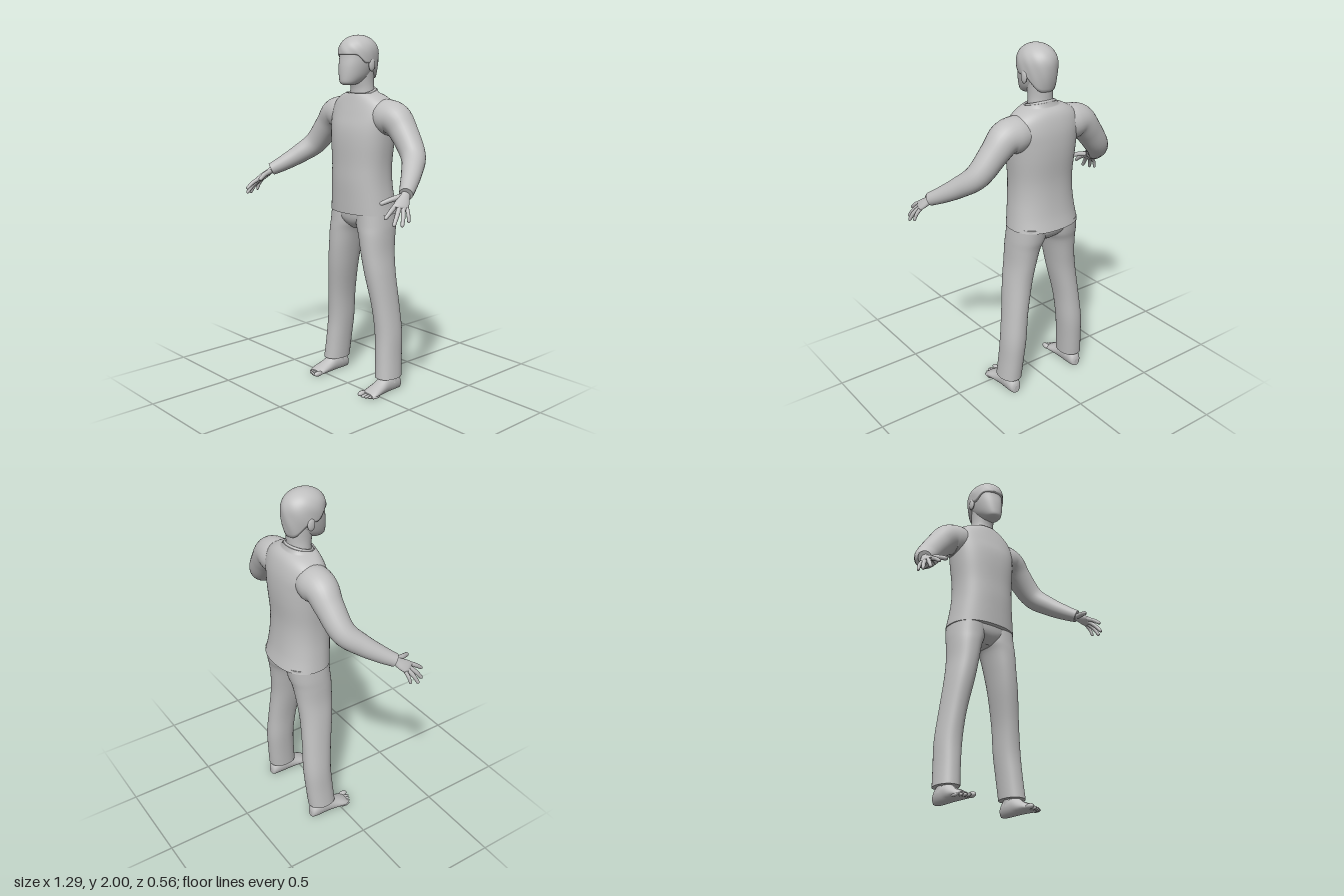
import * as THREE from 'three';

const V = (x, y, z) => new THREE.Vector3(x, y, z);

// Smoothly resample rows of section parameters
function resample(rows, steps) {
  const out = [];
  const at = i => rows[Math.min(rows.length - 1, Math.max(0, i))];
  for (let i = 0; i < rows.length - 1; i++) {
    for (let k = 0; k < steps; k++) {
      const t = k / steps;
      out.push(rows[0].map((_, c) => {
        const [a, b, d, e] = [at(i - 1)[c], at(i)[c], at(i + 1)[c], at(i + 2)[c]];
        return b + 0.5 * t * (d - a + t * (2 * a - 5 * b + 4 * d - e + t * (3 * (b - d) + e - a)));
      }));
    }
  }
  out.push(rows[rows.length - 1]);
  return out;
}

// Skin closed rings of points and close both ends with separate caps
function loft(rings) {
  const n = rings[0].length, pos = [], idx = [];
  rings.forEach(r => r.forEach(p => pos.push(p.x, p.y, p.z)));
  for (let i = 0; i < rings.length - 1; i++) {
    for (let j = 0; j < n; j++) {
      const a = i * n + j, b = i * n + (j + 1) % n;
      idx.push(a, b, a + n, b, b + n, a + n);
    }
  }
  [rings[0], rings[rings.length - 1]].forEach((r, end) => {
    const base = pos.length / 3, c = V(0, 0, 0);
    r.forEach(p => { pos.push(p.x, p.y, p.z); c.addScaledVector(p, 1 / n); });
    pos.push(c.x, c.y, c.z);
    for (let j = 0; j < n; j++) {
      const a = base + j, b = base + (j + 1) % n;
      if (end) idx.push(a, b, base + n); else idx.push(b, a, base + n);
    }
  });
  const g = new THREE.BufferGeometry();
  g.setAttribute('position', new THREE.Float32BufferAttribute(pos, 3));
  g.setIndex(idx);
  g.computeVertexNormals();
  return g;
}

// Upright body from rows of [y, centre x, half width, front z, back z, tilt]
function body(rows, power = 2.2, sides = 40) {
  const curve = v => Math.sign(v) * Math.abs(v) ** (2 / power);
  return loft(resample(rows, 5).map(([y, x, w, f, b, tilt = 0]) =>
    Array.from({ length: sides }, (_, j) => {
      const a = j / sides * Math.PI * 2, c = curve(Math.cos(a));
      return V(x + w * curve(Math.sin(a)), y - tilt * c, (f + b) / 2 + (f - b) / 2 * c);
    })));
}

// Tapered limb through rows of [x, y, z, radius], optionally with a rounded tip
function limb(rows, round = 0, steps = 6, sides = 20) {
  const s = resample(rows, steps), pts = s.map(r => V(r[0], r[1], r[2]));
  let n = V(0.3, 0.2, 1);
  return loft(s.map((r, i) => {
    const t = pts[Math.min(i + 1, s.length - 1)].clone().sub(pts[Math.max(i - 1, 0)]).normalize();
    n = n.clone().addScaledVector(t, -n.dot(t)).normalize();
    const b = t.clone().cross(n), d = i / (s.length - 1);
    const k = round && d > 1 - round ? Math.sqrt(Math.max(0.001, 1 - ((d - 1 + round) / round) ** 2)) : 1;
    return Array.from({ length: sides }, (_, j) => {
      const a = j / sides * Math.PI * 2;
      return pts[i].clone().addScaledVector(n, Math.cos(a) * r[3] * k).addScaledVector(b, Math.sin(a) * r[3] * k);
    });
  }));
}

function ball(x, y, z, rx, ry, rz) {
  return new THREE.SphereGeometry(1, 18, 12).scale(rx, ry, rz).translate(x, y, z);
}

// Cap of hair with a rim that drops from fringe to nape
function hairCap() {
  const sides = 56, levels = 22, rings = [], ease = THREE.MathUtils.smoothstep;
  for (let i = 0; i <= levels; i++) {
    const s = Math.max(0, i - 1) / (levels - 1);
    rings.push(Array.from({ length: sides }, (_, j) => {
      const a = j / sides * Math.PI * 2, c = Math.cos(a);
      const rim = 1.765 + 0.085 * ease(c, -0.95, -0.1) + 0.045 * ease(c, 0.2, 0.7);
      const y = rim + (2 - rim) * Math.sin(s * Math.PI / 2);
      const h = (y - 1.895) / 0.105;
      let f = h < 0 ? 1 - 0.17 * ((1.895 - y) / 0.13) ** 2 : Math.sqrt(Math.max(0.0001, 1 - h ** 2.3));
      f *= 1 + 0.018 * Math.sin(a * 7 + s * 5) * Math.sin(s * 9 + a * 2) * (1 - s);
      if (i === 0) f *= 0.88;
      return V(0.1 * f * Math.sin(a), y, -0.078 + 0.122 * f * c);
    }));
  }
  return loft(rings);
}

export function createModel() {
  const model = new THREE.Group();
  model.name = 'standingMan';
  const grey = new THREE.MeshStandardMaterial({ color: 0xc0c0c0 });
  grey.name = 'plainGrey';

  const add = (name, geo) => {
    const m = new THREE.Mesh(geo, grey);
    m.name = name;
    model.add(m);
  };
  // Left part plus its mirrored twin
  const both = (name, geo) => {
    add('left' + name, geo);
    const g = geo.clone().scale(-1, 1, 1), ix = g.index.array;
    for (let i = 0; i < ix.length; i += 3) [ix[i], ix[i + 1]] = [ix[i + 1], ix[i]];
    add('right' + name, g);
  };

  // Head and neck
  add('head', body([
    [1.733, 0, 0.03, 0.025, -0.04], [1.745, 0, 0.048, 0.042, -0.08], [1.78, 0, 0.068, 0.045, -0.14],
    [1.83, 0, 0.082, 0.042, -0.175], [1.875, 0, 0.088, 0.034, -0.185], [1.92, 0, 0.087, 0.025, -0.18],
    [1.96, 0, 0.06, 0, -0.14]], 2.1));
  add('neck', body([
    [1.62, 0, 0.08, -0.04, -0.19], [1.7, 0, 0.068, -0.045, -0.175],
    [1.75, 0, 0.065, -0.035, -0.175], [1.82, 0, 0.07, -0.02, -0.18]], 2));
  add('hair', hairCap());
  both('Ear', ball(0.094, 1.84, -0.092, 0.011, 0.035, 0.022).rotateX(0));

  // Sweater
  add('sweater', body([
    [1.022, 0, 0.206, 0.027, -0.28], [1.1, 0, 0.195, 0.03, -0.262], [1.2, 0, 0.185, 0.033, -0.25],
    [1.3, 0, 0.185, 0.031, -0.247], [1.42, 0, 0.197, 0.03, -0.255], [1.5, 0, 0.205, 0.022, -0.256],
    [1.57, 0, 0.212, 0.003, -0.25], [1.63, 0, 0.195, -0.015, -0.235, 0.005],
    [1.668, 0, 0.148, -0.027, -0.215, 0.012], [1.692, 0, 0.085, -0.036, -0.185, 0.02]], 2.3, 56));
  const collar = new THREE.TorusGeometry(1, 0.09, 10, 48).rotateX(Math.PI / 2)
    .scale(0.077, 0.1, 0.07).rotateX(0.3).translate(0, 1.692, -0.109);
  add('collar', collar);
  both('Sleeve', limb([
    [0.1, 1.565, -0.13, 0.085], [0.18, 1.56, -0.13, 0.098], [0.245, 1.55, -0.13, 0.09],
    [0.31, 1.485, -0.128, 0.077], [0.4, 1.375, -0.105, 0.067], [0.465, 1.305, -0.03, 0.056],
    [0.52, 1.25, 0.05, 0.045], [0.56, 1.215, 0.11, 0.036]], 0, 6, 28));

  // Hands: wrist, palm and five fingers
  const wrist = V(0.552, 1.22, 0.098), knuckle = V(0.589, 1.16, 0.178);
  const across = V(0.035, -0.02, -0.06).normalize();
  const along = knuckle.clone().sub(wrist).normalize();
  const up = across.clone().cross(along).normalize();
  both('Palm', loft(resample([[0, 0.024, 0.02], [0.3, 0.027, 0.018], [0.65, 0.037, 0.017],
    [0.95, 0.04, 0.014], [1.08, 0.034, 0.008]], 4).map(([t, w, h]) =>
    Array.from({ length: 20 }, (_, j) => {
      const a = j / 20 * Math.PI * 2;
      return wrist.clone().lerp(knuckle, t).addScaledVector(across, -w * Math.cos(a))
        .addScaledVector(up, -h * Math.sin(a));
    })).map(r => r.reverse())));
  const fingers = [
    ['Thumb', [0.548, 1.205, 0.13], [0.503, 1.172, 0.238], 0.014],
    ['IndexFinger', [0.567, 1.17, 0.19], [0.58, 1.112, 0.278], 0.0115],
    ['MiddleFinger', [0.583, 1.162, 0.18], [0.616, 1.078, 0.252], 0.0115],
    ['RingFinger', [0.597, 1.155, 0.166], [0.637, 1.073, 0.213], 0.011],
    ['LittleFinger', [0.603, 1.155, 0.146], [0.634, 1.087, 0.163], 0.0095]];
  for (const [name, a, b, r] of fingers) {
    const mid = a.map((v, i) => (v + b[i]) / 2 + up.getComponent(i) * Math.sign(up.y) * 0.006);
    both(name, limb([[...a, r * 1.1], [...mid, r], [...b, r * 0.8]], 0.16, 12, 12));
  }

  // Trousers
  add('trouserSeat', body([
    [0.925, 0, 0.03, -0.05, -0.17], [0.955, 0, 0.1, -0.02, -0.215],
    [0.99, 0, 0.18, -0.005, -0.242], [1.04, 0, 0.193, 0, -0.255]], 2.3));
  both('TrouserLeg', body([
    [0.085, 0.223, 0.064, -0.03, -0.195], [0.2, 0.214, 0.064, -0.04, -0.205],
    [0.34, 0.203, 0.067, -0.047, -0.214], [0.5, 0.185, 0.066, -0.035, -0.208],
    [0.68, 0.156, 0.073, -0.01, -0.203], [0.8, 0.136, 0.077, 0, -0.212],
    [0.9, 0.122, 0.086, 0.002, -0.226], [0.96, 0.108, 0.097, 0, -0.242],
    [1.04, 0.1, 0.097, -0.002, -0.255]], 2.2));

  // Bare feet, from heel to ball, rows of [z, centre x, half width, height]
  both('Foot', loft(resample([
    [-0.192, 0.226, 0.015, 0.045], [-0.182, 0.226, 0.032, 0.072], [-0.145, 0.226, 0.041, 0.105],
    [-0.085, 0.226, 0.042, 0.1], [-0.03, 0.228, 0.046, 0.068], [0.025, 0.23, 0.051, 0.043],
    [0.055, 0.228, 0.046, 0.026]], 4).map(([z, x, w, h]) =>
    Array.from({ length: 24 }, (_, j) => {
      const a = j / 24 * Math.PI * 2;
      return V(x + w * Math.cos(a), Math.max(0.002, h * 0.45 + h * 0.55 * Math.sin(a)), z);
    }))));
  both('Ankle', limb([[0.226, 0.05, -0.125, 0.043], [0.225, 0.09, -0.122, 0.04], [0.223, 0.14, -0.12, 0.042]]));
  for (let i = 0; i < 5; i++) {
    const r = i ? 0.0105 - i * 0.0005 : 0.0155;
    const x = i ? 0.199 + i * 0.0185 : 0.192;
    both('Toe' + (i + 1), ball(x, r + 0.001, 0.064 - i * i * 0.002, r, r, 0.03));
  }
  return model;
}
